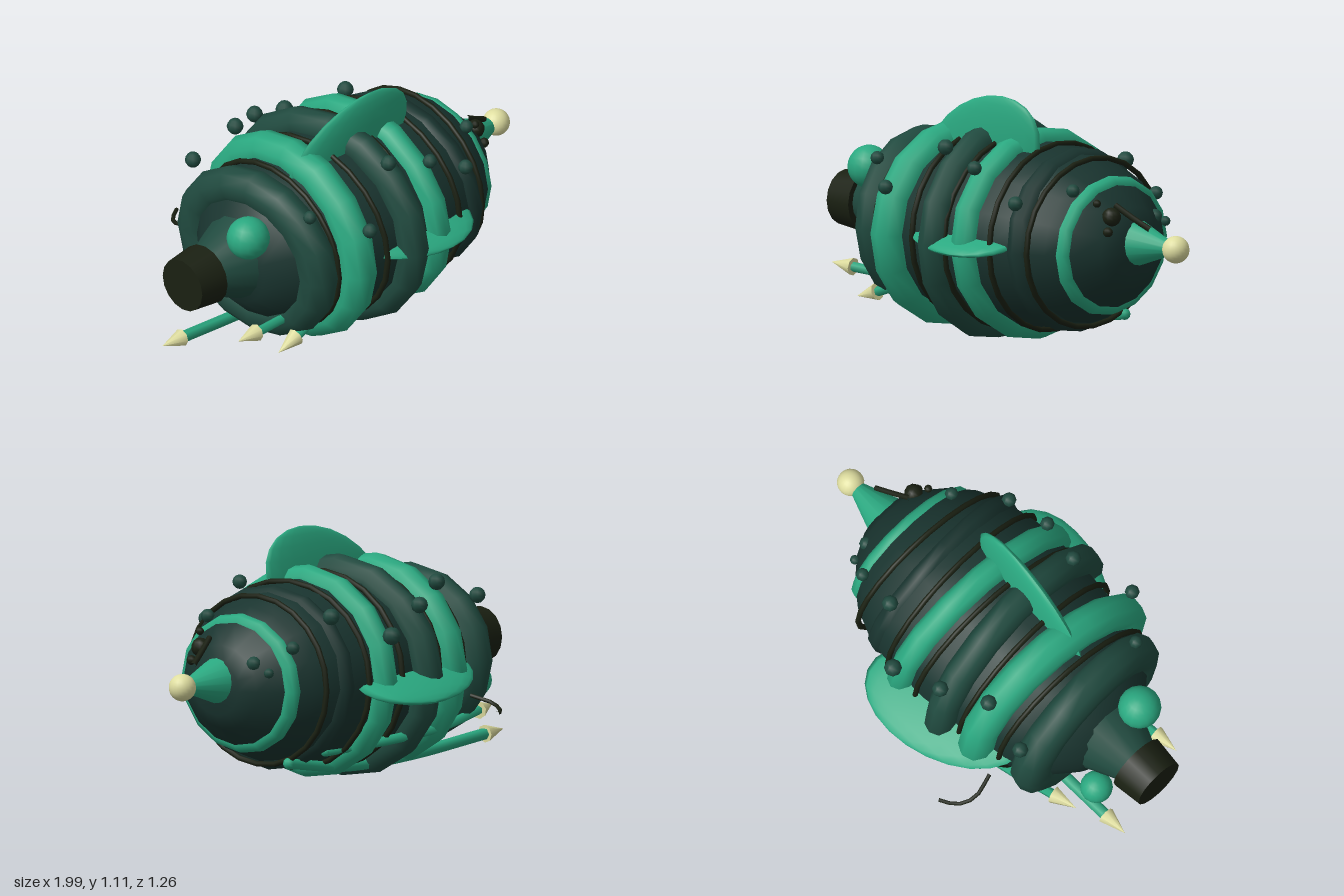
import * as THREE from 'three';

const mat = (color) => new THREE.MeshStandardMaterial({ color, roughness: 0.8 });

export function createModel() {
  const model = new THREE.Group();
  const green = mat(0x2aa880), moss = mat(0x204a3f), hide = mat(0x19342f);
  const black = mat(0x1a2012), cream = mat(0xdedda0);
  const CY = 0.505, CZ = 0.065, WIDE = 1.12; // body axis and sideways stretch
  const V = (p) => new THREE.Vector3(...p);

  const add = (name, geometry, material, pos = [0, 0, 0]) => {
    const mesh = new THREE.Mesh(geometry, material);
    mesh.name = name;
    mesh.position.set(...pos);
    model.add(mesh);
    return mesh;
  };
  const ball = (name, r, material, pos, seg = 8) =>
    add(name, new THREE.SphereGeometry(r, seg, Math.max(6, seg * 0.75)), material, pos);
  // Frustum along x; r0 at the low x end, r1 at the high x end
  const frustum = (name, x0, r0, x1, r1, material, y, seg = 16) => {
    const g = new THREE.CylinderGeometry(r1, r0, x1 - x0, seg);
    g.rotateZ(-Math.PI / 2);
    return add(name, g, material, [(x0 + x1) / 2, y, CZ]);
  };
  const tube = (name, pts, r, material, seg = 16) =>
    add(name, new THREE.TubeGeometry(new THREE.CatmullRomCurve3(pts.map(V)), seg, r, 6), material);

  // Body: a stretched barrel along x
  const profile = [[-0.75, 0], [-0.7, 0.18], [-0.6, 0.28], [-0.45, 0.36], [-0.25, 0.4], [0, 0.42],
    [0.2, 0.412], [0.38, 0.38], [0.5, 0.335], [0.6, 0.265], [0.68, 0.185], [0.72, 0.12], [0.735, 0]];
  const body = new THREE.LatheGeometry(profile.map(([x, r]) => new THREE.Vector2(r, x)), 16);
  body.rotateZ(-Math.PI / 2);
  body.scale(1, 1, WIDE);
  add('body', body, hide, [0, CY, CZ]);

  // Thick rings: x, outer radius, tube radius, material, turn about y, turn about z
  const ring = (name, x, outer, t, material, ry = 0, rz = 0, arcs = 16) => {
    const g = new THREE.TorusGeometry(outer - t, t, 10, arcs);
    g.rotateY(Math.PI / 2);
    g.scale(1, 1, WIDE);
    add(name, g, material, [x, CY, CZ]).rotation.set(0, ry, rz);
  };
  [[-0.535, 0.395, 0.085, moss, 0.06, 0.03],
    [-0.33, 0.465, 0.085, green, -0.05, -0.02],
    [-0.09, 0.492, 0.072, moss, 0.07, -0.02],
    [0.125, 0.468, 0.065, green, -0.03, 0.025],
    [0.355, 0.405, 0.06, hide, 0.05, 0.06],
    [0.55, 0.308, 0.045, green, -0.02, 0.01],
  ].forEach((r) => ring('bodyRing', ...r));

  // Thin dark bands between the rings
  [[-0.44, 0.385], [-0.21, 0.425], [0.02, 0.44], [0.24, 0.422], [0.445, 0.383]]
    .forEach(([x, r], i) => ring('thinBand', x, r, 0.012, black, i % 2 ? 0.03 : -0.03, 0.01, 24));

  // Rear neck and nozzle
  frustum('neck', -0.87, 0.105, -0.63, 0.21, moss, 0.525);
  frustum('nozzle', -1, 0.122, -0.86, 0.138, black, 0.522);
  ball('rearOrb', 0.095, green, [-0.735, 0.71, 0.205], 16);
  ball('rearOrb', 0.072, green, [-0.78, 0.365, -0.1], 16);

  // Snout with a pale tip
  frustum('snout', 0.69, 0.11, 0.92, 0.025, green, 0.535);
  ball('snoutTip', 0.06, cream, [0.935, 0.535, CZ], 20);

  // Fins: flattened ellipsoids swept along x, turned about the body axis
  const fin = (pos, length, height, sweep, turn, yaw = 0) => {
    const g = new THREE.SphereGeometry(1, 18, 12);
    g.scale(length, height, 0.045);
    const p = g.attributes.position;
    for (let i = 0; i < p.count; i++) p.setX(i, p.getX(i) + sweep * p.getY(i));
    g.computeVertexNormals();
    const m = add('fin', g, green, pos);
    m.rotation.set(turn, yaw, 0);
  };
  fin([-0.1, 0.85, 0.165], 0.33, 0.27, 0.5, 0.07, -0.06);
  fin([-0.1, 0.505, -0.345], 0.37, 0.255, 0.45, -Math.PI / 2 - 0.3);
  fin([0, 0.55, 0.37], 0.33, 0.265, 0.4, Math.PI / 2 + 0.24);

  // Trailing tentacles with pale pointed tips
  [
    [[0.46, 0.16, -0.13], [0.1, 0.1, -0.12], [-0.35, 0.09, -0.1], [-0.84, 0.12, -0.1]],
    [[0.34, 0.16, 0.185], [-0.1, 0.14, 0.24], [-0.45, 0.25, 0.26], [-0.76, 0.272, 0.28]],
    [[0.1, 0.2, 0.32], [-0.2, 0.21, 0.33], [-0.42, 0.24, 0.33], [-0.57, 0.195, 0.335]],
    [[0.3, 0.2, -0.2], [0, 0.23, -0.32], [-0.35, 0.24, -0.3], [-0.65, 0.265, -0.235]],
  ].forEach((pts, i) => {
    const r = i ? 0.022 : 0.026;
    tube('tentacle', pts, r, green, 24);
    ball('tentacleRoot', r, green, pts[0], 8);
    const end = V(pts[3]);
    const dir = end.clone().sub(V(pts[2])).normalize();
    const tip = add('tentacleTip', new THREE.ConeGeometry(0.04, 0.12, 8), cream,
      end.addScaledVector(dir, 0.06).toArray());
    tip.quaternion.setFromUnitVectors(new THREE.Vector3(0, 1, 0), dir);
  });

  // Warts along the rings: x, y, z, radius
  [[-0.53, 0.8, 0.38, 0.03], [-0.33, 0.72, 0.55, 0.033], [-0.09, 0.91, 0.425, 0.035],
    [0.12, 0.85, 0.47, 0.032], [0.35, 0.72, 0.46, 0.033], [0.53, 0.775, 0.285, 0.03],
    [-0.54, 0.8, -0.33, 0.036], [-0.31, 0.885, -0.3, 0.037], [-0.1, 0.82, -0.39, 0.037],
    [0.14, 0.72, -0.445, 0.04], [0.34, 0.81, -0.27, 0.037], [0.55, 0.695, -0.235, 0.03],
    [0.66, 0.625, -0.105, 0.032], [0.65, 0.59, -0.185, 0.022],
  ].forEach(([x, y, z, r]) => ball('wart', r, moss, [x, y, z]));

  // Eyes, brow spike and side feeler
  ball('eye', 0.042, black, [0.675, 0.665, 0.195], 10);
  ball('smallEye', 0.022, black, [0.69, 0.605, 0.235]);
  ball('smallEye', 0.018, black, [0.63, 0.725, 0.24]);
  tube('browSpike', [[0.66, 0.71, 0.155], [0.74, 0.66, 0.13], [0.82, 0.615, 0.105]], 0.013, black, 4);
  tube('sideFeeler', [[-0.42, 0.38, -0.4], [-0.445, 0.355, -0.51], [-0.41, 0.335, -0.585],
    [-0.34, 0.337, -0.63]], 0.009, black, 6);

  return model;
}
